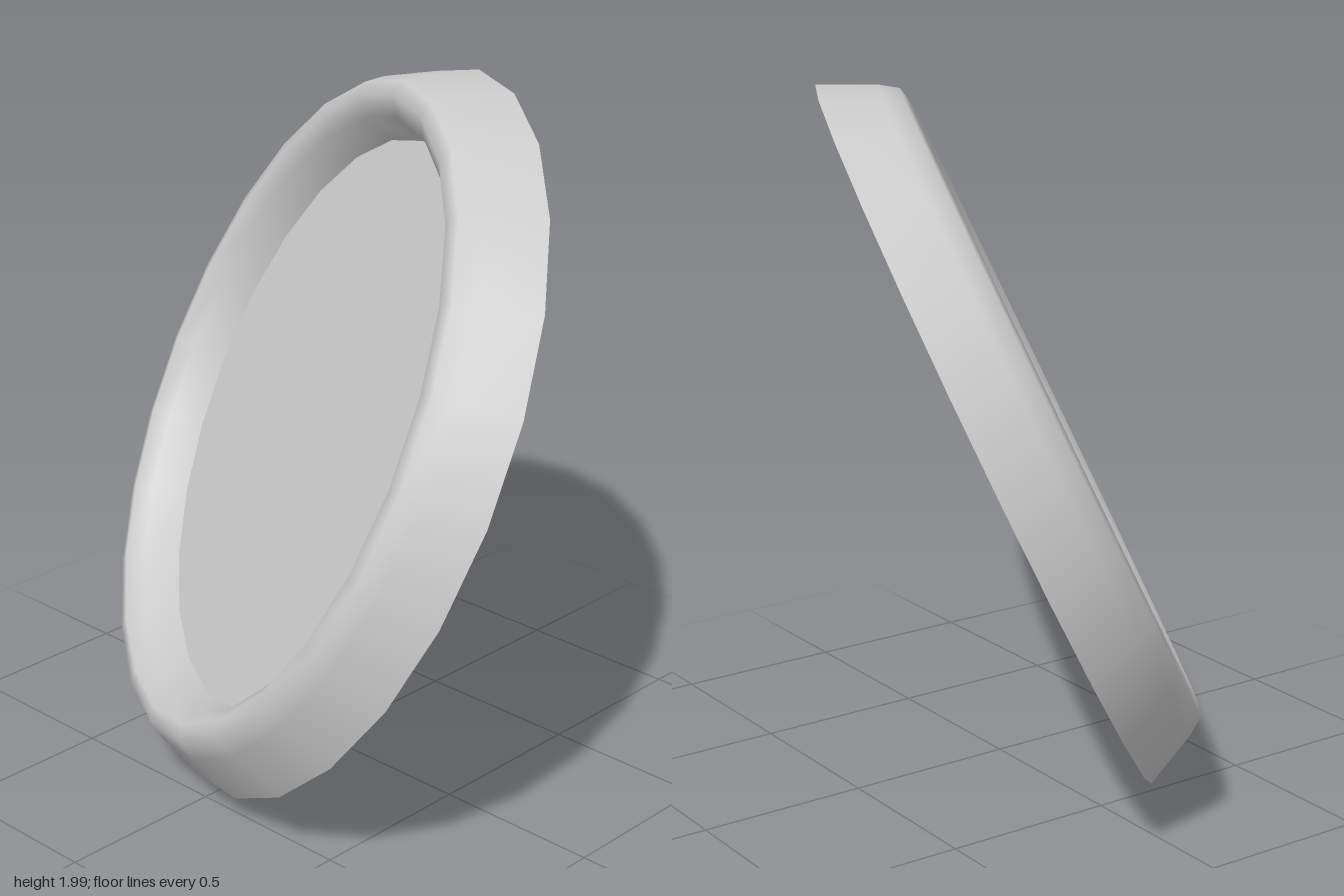
import * as THREE from 'three';

export function createModel() {
  const model = new THREE.Group();
  const dish = new THREE.Group();
  dish.name = 'tiltedDish';
  const material = new THREE.MeshStandardMaterial({ color: 0xcccccc, side: THREE.DoubleSide });
  const sides = 24;
  const innerRadius = 0.858, discHeight = 0.08;

  // Rim: open skirt at the back, rounded lip, inner wall down to the disc
  const profile = [
    [1.105, 0], [1.03, 0.157], [0.993, 0.21], [0.945, 0.22], [0.892, 0.18], [innerRadius, discHeight],
  ].map(([r, h]) => new THREE.Vector2(r, h));
  const rim = new THREE.Mesh(new THREE.LatheGeometry(profile, sides), material);
  rim.name = 'rim';

  // Flat disc closing the rim
  const discGeometry = new THREE.CircleGeometry(innerRadius, sides);
  discGeometry.rotateX(-Math.PI / 2).translate(0, discHeight, 0);
  const disc = new THREE.Mesh(discGeometry, material);
  disc.name = 'disc';
  dish.add(rim, disc);

  // Tilt: the dish axis points forward, up and to the right
  const axis = new THREE.Vector3(-0.447, 0.424, 0.787).normalize();
  const radial = new THREE.Vector3(1, 0, 0).projectOnPlane(axis).normalize();
  radial.applyAxisAngle(axis, THREE.MathUtils.degToRad(-5.7));
  const side = new THREE.Vector3().crossVectors(axis, radial);
  dish.quaternion.setFromRotationMatrix(new THREE.Matrix4().makeBasis(side, axis, radial));
  dish.position.set(-0.003, 1.003, -0.054);

  model.add(dish);
  return model;
}
